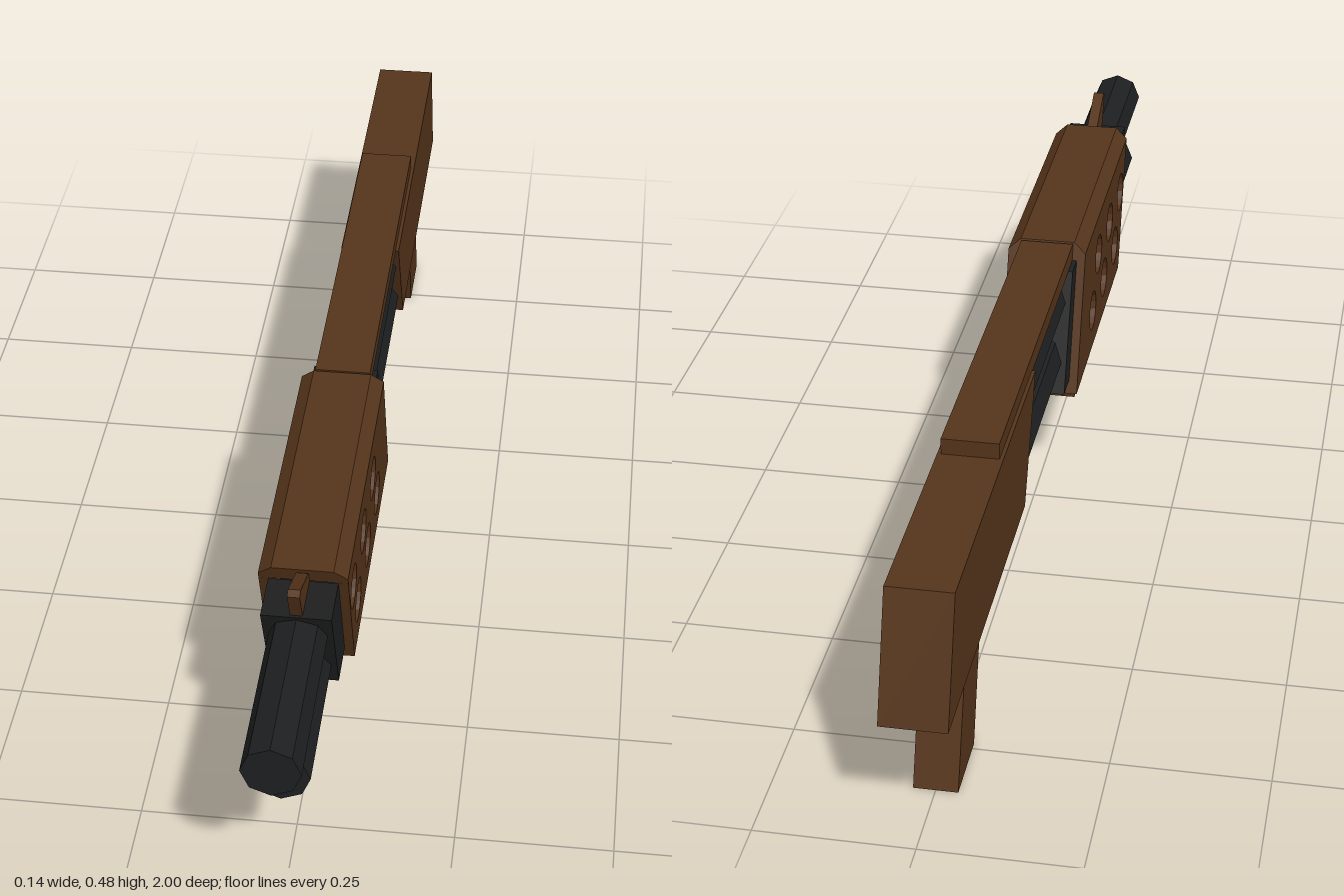
import * as THREE from 'three';

const wood = new THREE.MeshStandardMaterial({ color: 0x55341a, flatShading: true });
const steel = new THREE.MeshStandardMaterial({ color: 0x1e1f20, flatShading: true });

export function createModel() {
  const model = new THREE.Group();

  const add = (name, geometry, material) => {
    const mesh = new THREE.Mesh(geometry, material);
    mesh.name = name;
    model.add(mesh);
    return mesh;
  };

  // Side outline given as [z, y] points, extruded across x and centred on x
  const slab = (points, width, x = 0, holes = []) => {
    const shape = new THREE.Shape(points.map(([z, y]) => new THREE.Vector2(z, y)));
    for (const [z, y, r] of holes) {
      const hole = new THREE.Path();
      hole.absarc(z, y, r, 0, Math.PI * 2, true);
      shape.holes.push(hole);
    }
    return new THREE.ExtrudeGeometry(shape, { depth: width, bevelEnabled: false, curveSegments: 8 })
      .translate(0, 0, -width / 2)
      .rotateY(-Math.PI / 2)
      .translate(x, 0, 0);
  };

  // Octagonal barrel and magazine tube
  const tube = (name, y, front, back) =>
    add(name, new THREE.CylinderGeometry(0.045, 0.045, front - back, 8)
      .rotateX(Math.PI / 2).translate(0, y, (front + back) / 2), steel);
  tube('barrel', 0.361, 1, -0.4);
  tube('magazineTube', 0.264, 0.91, -0.42);

  // Slanted collars at both ends of the handguard
  const collar = (name, front, back) =>
    add(name, slab([[back, 0.213], [front, 0.213], [front + 0.085, 0.413], [back + 0.085, 0.413]], 0.108), steel);
  collar('frontCollar', 0.64, 0.555);
  collar('rearCollar', 0.08, 0);

  // Handguard side walls with two staggered rows of holes
  const holes = [];
  for (let i = 0; i < 3; i++) {
    holes.push([0.567 - i * 0.136, 0.346, 0.037], [0.502 - i * 0.136, 0.263, 0.037]);
  }
  const wall = [[0.046, 0.19], [0.556, 0.19], [0.639, 0.413], [0.129, 0.413]];
  add('handguardLeftWall', slab(wall, 0.021, 0.0585, holes), wood);
  add('handguardRightWall', slab(wall, 0.021, -0.0585, holes), wood);

  // Handguard top with chamfered edges, its ends slanted like the walls
  const section = [[-0.069, 0.413], [0.069, 0.413], [0.069, 0.425], [0.048, 0.443], [-0.048, 0.443], [-0.069, 0.425]];
  const cap = new THREE.ExtrudeGeometry(
    new THREE.Shape(section.map(([x, y]) => new THREE.Vector2(x, y))),
    { depth: 0.51, bevelEnabled: false });
  const p = cap.attributes.position;
  for (let i = 0; i < p.count; i++) p.setZ(i, p.getZ(i) + 0.14 + (p.getY(i) - 0.443) * 0.37);
  cap.computeVertexNormals();
  add('handguardTop', cap, wood);

  // Plate under the handguard
  add('handguardBase', new THREE.BoxGeometry(0.124, 0.024, 0.44).translate(0, 0.185, 0.285), wood);

  // Top rail running back onto the stock
  add('topRail', new THREE.BoxGeometry(0.092, 0.031, 0.7).translate(0, 0.4265, -0.215), wood);

  // Stock and grip
  add('stock', slab([[-1, 0.217], [-0.38, 0.217], [-0.28, 0.415], [-0.935, 0.415]], 0.104), wood);
  add('grip', slab([[-0.86, 0], [-0.737, 0], [-0.667, 0.22], [-0.785, 0.22]], 0.07), wood);

  // Front sight
  add('frontSight', slab([[0.63, 0.413], [0.72, 0.413], [0.747, 0.472], [0.735, 0.477], [0.65, 0.437]], 0.019), wood);

  return model;
}
